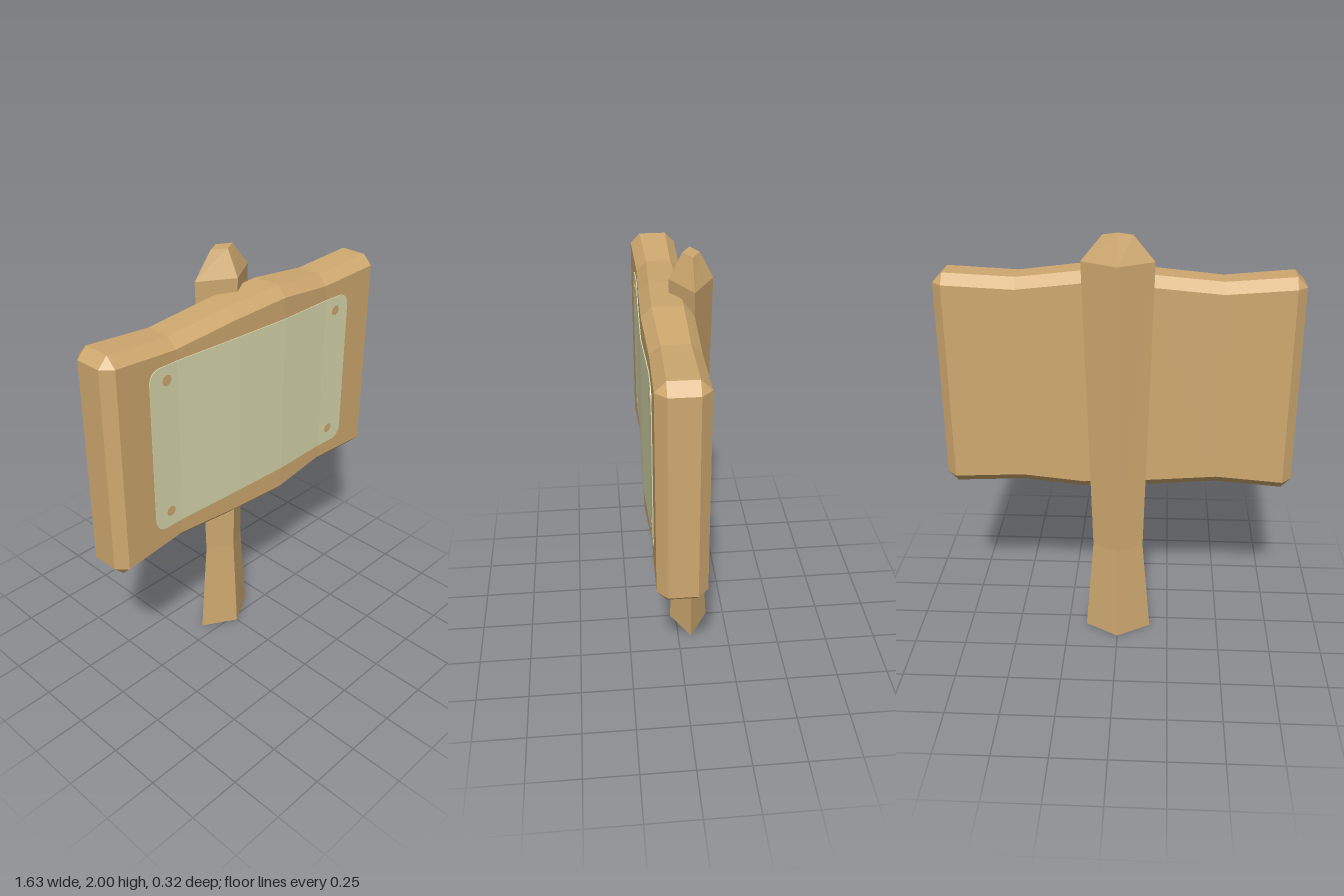
import * as THREE from 'three';

// Skin a list of equal-length rings; rings turn counter-clockwise about the loft axis.
function loft(rings) {
  const out = [];
  const tri = (a, b, c) => {
    const area = new THREE.Triangle(a, b, c).getArea();
    if (area > 1e-7) for (const p of [a, b, c]) out.push(p.x, p.y, p.z);
  };
  const n = rings[0].length;
  for (let i = 0; i < rings.length - 1; i++) {
    for (let j = 0; j < n; j++) {
      const k = (j + 1) % n;
      const a = rings[i][j], b = rings[i + 1][j], c = rings[i + 1][k], d = rings[i][k];
      tri(a, d, c);
      tri(a, c, b);
    }
  }
  const first = rings[0], last = rings[rings.length - 1];
  for (let j = 1; j < n - 1; j++) {
    tri(first[0], first[j + 1], first[j]);
    tri(last[0], last[j], last[j + 1]);
  }
  const g = new THREE.BufferGeometry();
  g.setAttribute('position', new THREE.Float32BufferAttribute(out, 3));
  g.computeVertexNormals();
  return g;
}

const V = (x, y, z) => new THREE.Vector3(x, y, z);

// Board stations: x, top y, bottom y, front z
const STATIONS = [
  [-0.77, 1.815, 0.795, 0.15],
  [-0.46, 1.79, 0.865 - 0.045, 0.14],
  [-0.14, 1.818, 0.795, 0.151],
  [0.16, 1.832, 0.78, 0.158],
  [0.45, 1.8, 0.81, 0.145],
  [0.77, 1.815, 0.795, 0.15],
];
const BACK = -0.064, CHAMFER = 0.045;

function frontZ(x) {
  for (let i = 0; i < STATIONS.length - 1; i++) {
    const a = STATIONS[i], b = STATIONS[i + 1];
    if (x <= b[0]) return THREE.MathUtils.mapLinear(x, a[0], b[0], a[3], b[3]);
  }
  return 0.15;
}

// Wavy slab with chamfered edges; the end rings collapse to rectangles.
function boardGeometry() {
  const c = CHAMFER;
  const ring = ([x, t, b, f]) => [
    V(x, t, BACK + c), V(x, t, f - c), V(x, t - c, f), V(x, b + c, f),
    V(x, b, f - c), V(x, b, BACK + c), V(x, b + c, BACK), V(x, t - c, BACK),
  ];
  const end = (s, x) => {
    const [, t, b, f] = s;
    const tb = V(x, t - c, BACK + c), tf = V(x, t - c, f - c);
    const bf = V(x, b + c, f - c), bb = V(x, b + c, BACK + c);
    return [tb, tf, tf, bf, bf, bb, bb, tb];
  };
  return loft([end(STATIONS[0], -0.815), ...STATIONS.map(ring), end(STATIONS[5], 0.815)]);
}

// Diamond-section post, waisted low down, with a tapered top
function postGeometry() {
  const levels = [ // y, half width, half depth
    [0, 0.16, 0.095], [0.48, 0.12, 0.07], [1.885, 0.16, 0.095], [2, 0.065, 0.036],
  ];
  const mid = -0.065;
  return loft(levels.map(([y, w, d]) =>
    [V(0, y, mid + d), V(w, y, mid), V(0, y, mid - d), V(-w, y, mid)]));
}

// Rounded sheet made of upright slices that follow the face of the board
function sheetGeometry() {
  const x0 = -0.608, x1 = 0.606, r = 0.055;
  const xs = STATIONS.slice(1, 5).map((s) => s[0]);
  for (let i = 0; i <= 6; i++) {
    const d = r * (1 - Math.cos((i / 6) * Math.PI / 2));
    xs.push(x0 + d, x1 - d);
  }
  xs.sort((a, b) => a - b);
  const rings = xs.map((x) => {
    const e = Math.max(0, r - Math.min(x - x0, x1 - x));
    const inset = r - Math.sqrt(Math.max(0, r * r - e * e));
    const u = (x - x0) / (x1 - x0);
    const t = 1.7 - 0.016 * u - inset, b = 0.94 - 0.02 * u + inset;
    const z = frontZ(x);
    return [V(x, t, z - 0.002), V(x, t, z + 0.004), V(x, b, z + 0.004), V(x, b, z - 0.002)];
  });
  return loft(rings);
}

export function createModel() {
  const wood = new THREE.MeshStandardMaterial({ color: 0xcfa96f });
  wood.name = 'wood';
  const paper = new THREE.MeshStandardMaterial({ color: 0xd9d9ad });
  paper.name = 'paper';

  const model = new THREE.Group();
  model.name = 'signpost';
  const add = (name, geometry, material) => {
    const mesh = new THREE.Mesh(geometry, material);
    mesh.name = name;
    model.add(mesh);
    return mesh;
  };

  add('post', postGeometry(), wood);
  add('board', boardGeometry(), wood);
  add('paperSheet', sheetGeometry(), paper);

  // Small wooden pegs in the sheet corners
  for (const [x, y] of [[-0.518, 1.635], [0.52, 1.62], [-0.523, 1.015], [0.513, 1.0]]) {
    const peg = add('peg', new THREE.CylinderGeometry(0.024, 0.024, 0.006, 8), wood);
    peg.rotation.x = Math.PI / 2;
    peg.position.set(x, y, frontZ(x) + 0.003);
  }
  return model;
}
